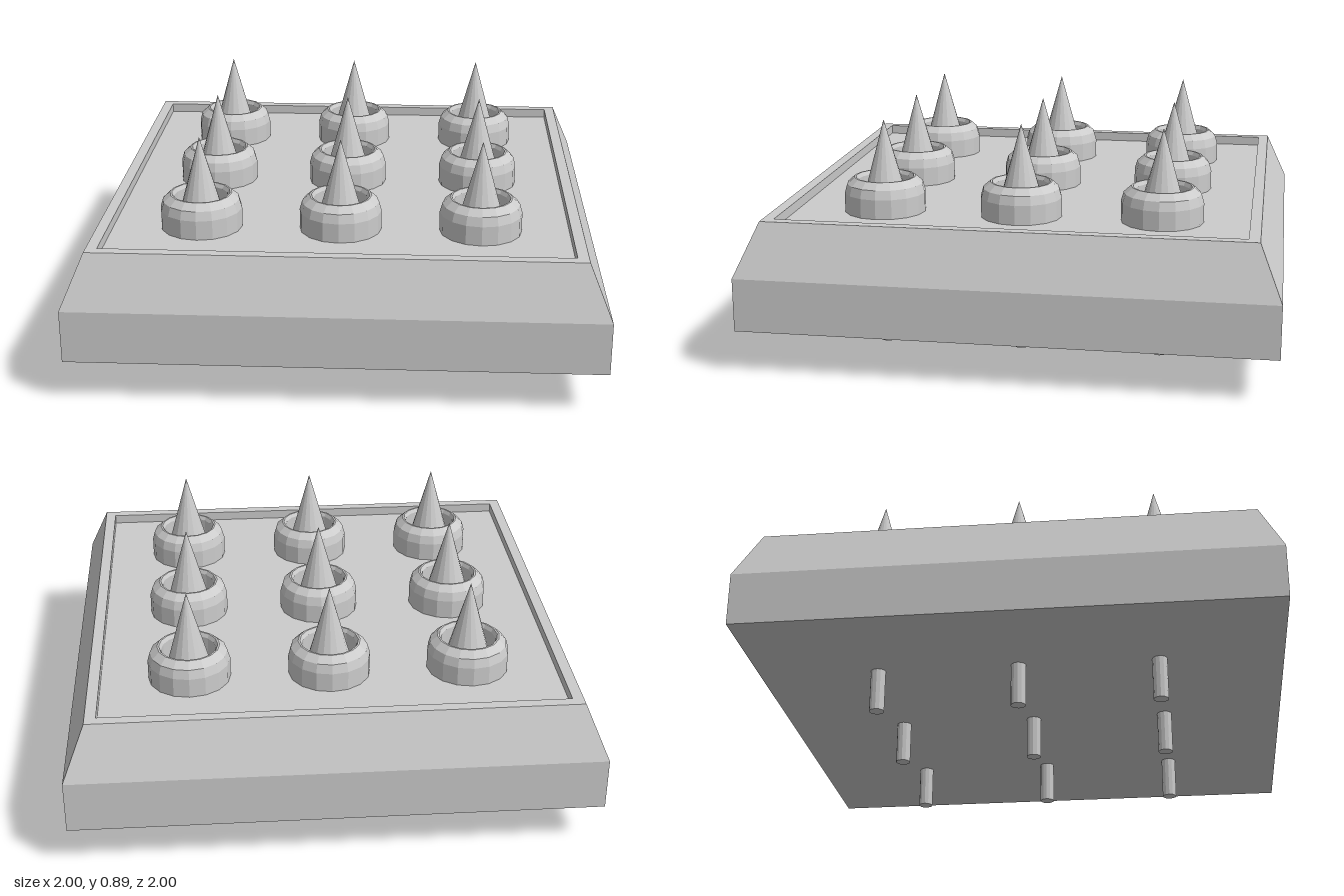
import * as THREE from 'three';

const material = new THREE.MeshStandardMaterial({ color: 0xcccccc, flatShading: true });

// Spins a list of [radius, height] pairs, bottom to top on the outside
function lathe(name, profile, sides, start = 0) {
  const points = profile.map(([r, y]) => new THREE.Vector2(r, y));
  const mesh = new THREE.Mesh(new THREE.LatheGeometry(points, sides, start), material);
  mesh.name = name;
  return mesh;
}

function createSpike() {
  const spike = new THREE.Group();
  spike.name = 'spike';

  // Rounded collar with an open centre
  const collar = lathe('collar', [
    [0.157, 0.53], [0.157, 0.605], [0.147, 0.64], [0.119, 0.665],
    [0.112, 0.665], [0.104, 0.65], [0.104, 0.53],
  ], 16);

  // Sharp point rising from the floor inside the collar
  const point = new THREE.Mesh(new THREE.ConeGeometry(0.1, 0.357, 16), material);
  point.name = 'point';
  point.position.y = 0.53 + 0.357 / 2;

  // Thin rod below the base
  const rod = new THREE.Mesh(new THREE.CylinderGeometry(0.029, 0.029, 0.17, 12), material);
  rod.name = 'rod';
  rod.position.y = 0.085;

  spike.add(collar, point, rod);
  return spike;
}

export function createModel() {
  const model = new THREE.Group();
  model.name = 'spikeTrap';

  // Square base: straight skirt, sloped shoulder, narrow rim and recessed floor
  const half = [
    [0, 0.165], [1, 0.165], [1, 0.367], [0.915, 0.567],
    [0.873, 0.567], [0.873, 0.53], [0, 0.53],
  ];
  const base = lathe('base', half.map(([r, y]) => [r * Math.SQRT2, y]), 4, Math.PI / 4);
  model.add(base);

  // Three by three grid of spikes
  for (const x of [-0.535, 0, 0.535]) {
    for (const z of [-0.54, 0, 0.535]) {
      const spike = createSpike();
      spike.position.set(x, 0, z);
      model.add(spike);
    }
  }
  return model;
}
